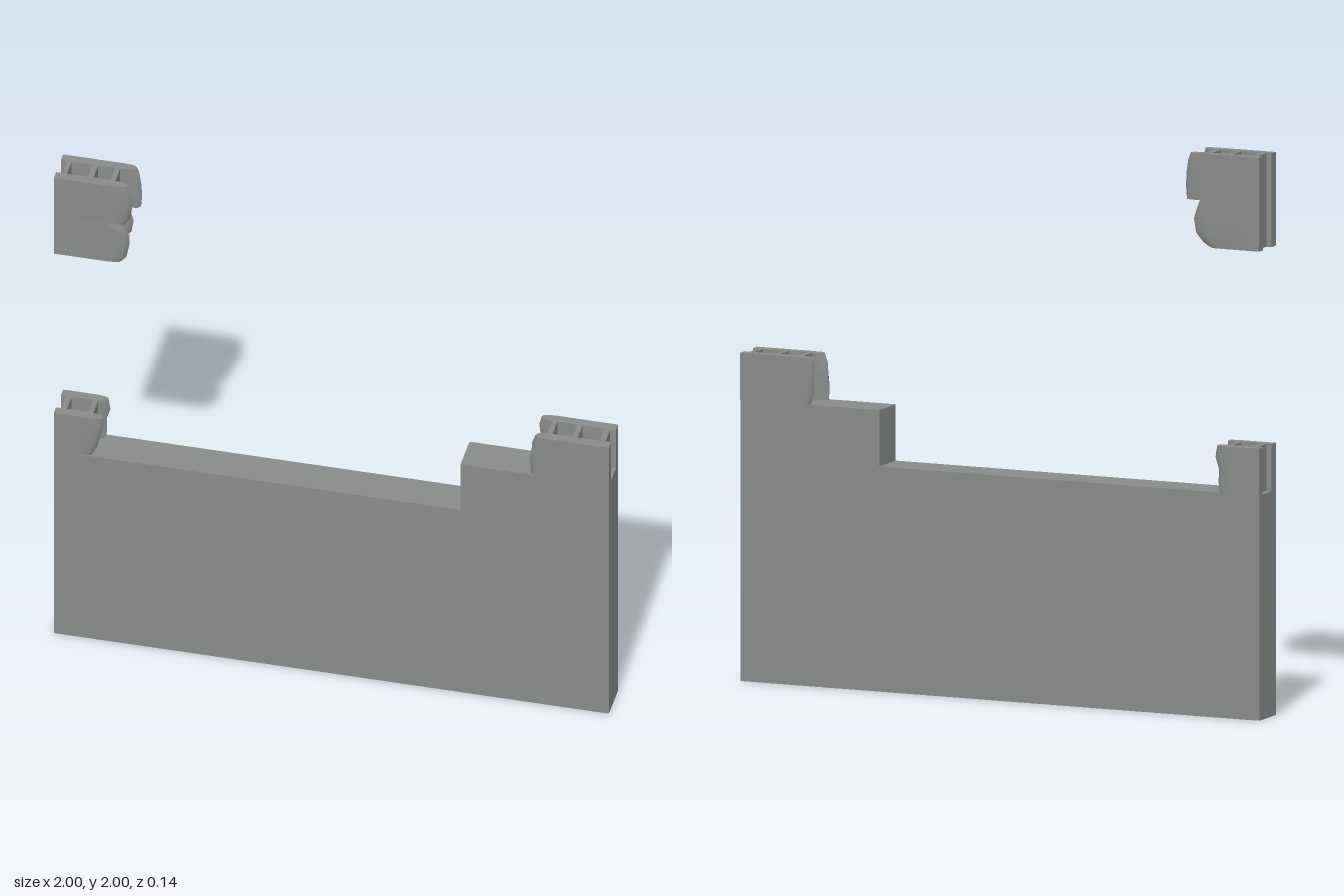
import * as THREE from 'three';
import { toCreasedNormals } from 'three/addons/utils/BufferGeometryUtils.js';

const concrete = new THREE.MeshStandardMaterial({ color: 0x888b8a });
concrete.name = 'concrete grey';

const FRONT = 0.069, BACK = -0.071, SHELL = 0.034;

// One face shell of a broken block: horizontal slices stacked upward.
// ends: [height fraction, length from the wall end] pairs; side: +1 left, -1 right; face: +1 front, -1 back
function shell(side, face, y0, height, ends) {
  const zOut = face > 0 ? FRONT : BACK;
  const pos = [], idx = [];
  ends.forEach(([t, len], row) => {
    const wobble = row % 2 ? 0.006 : 0;
    const slice = [
      [0, 0], [len - 0.045, 0], [len - 0.016, 0.003], [len - 0.003, 0.009],
      [len, 0.017], [len - 0.01 - wobble, 0.028], [len - 0.045 - wobble, SHELL], [0, SHELL],
    ];
    for (const [d, inset] of slice) pos.push(side * (1 - d), y0 + t * height, zOut - face * inset);
  });
  const n = 8, last = (ends.length - 1) * n;
  const flip = side * face < 0;
  const tri = (a, b, c) => (flip ? idx.push(a, c, b) : idx.push(a, b, c));
  for (let r = 0; r < ends.length - 1; r++) {
    for (let i = 0; i < n; i++) {
      const a = r * n + i, b = r * n + ((i + 1) % n);
      tri(a, a + n, b);
      tri(b, a + n, b + n);
    }
  }
  for (let i = 1; i < n - 1; i++) {
    tri(0, i, i + 1);
    tri(last, last + i + 1, last + i);
  }
  const g = new THREE.BufferGeometry();
  g.setAttribute('position', new THREE.Float32BufferAttribute(pos, 3));
  g.setIndex(idx);
  return new THREE.Mesh(toCreasedNormals(g, 0.9), concrete);
}

// Hollow block fragment: two face shells joined by cross webs
function brokenBlock(name, { side, y0, height, front, back, webs }) {
  const block = new THREE.Group();
  block.name = name;
  const frontShell = shell(side, 1, y0, height, front);
  frontShell.name = 'frontShell';
  const backShell = shell(side, -1, y0, height, back);
  backShell.name = 'backShell';
  block.add(frontShell, backShell);
  const depth = FRONT - BACK - 2 * SHELL + 0.004;
  for (const d of webs) {
    const web = new THREE.Mesh(new THREE.BoxGeometry(0.018, height, depth), concrete);
    web.name = 'crossWeb';
    web.position.set(side * (1 - d), y0 + height / 2, (FRONT + BACK) / 2);
    block.add(web);
  }
  return block;
}

export function createModel() {
  const model = new THREE.Group();
  model.name = 'ruinedBlockWall';

  // Stepped wall slab
  const outline = new THREE.Shape([[-1, 0], [1, 0], [1, 1], [0.465, 1], [0.465, 0.8], [-1, 0.8]]
    .map(([x, y]) => new THREE.Vector2(x, y)));
  const slab = new THREE.ExtrudeGeometry(outline, { depth: 0.136, bevelEnabled: false });
  slab.translate(0, 0, -0.067);
  const wall = new THREE.Mesh(slab, concrete);
  wall.name = 'wall';
  model.add(wall);

  // Block on the high step
  model.add(brokenBlock('stepBlock', {
    side: 1, y0: 1, height: 0.167, webs: [0.03, 0.13, 0.22],
    front: [[0, 0.285], [0.3, 0.288], [0.55, 0.283], [0.8, 0.28], [1, 0.268]],
    back: [[0, 0.265], [0.25, 0.278], [0.55, 0.276], [0.8, 0.28], [1, 0.272]],
  }));

  // Block on the low end
  model.add(brokenBlock('lowBlock', {
    side: -1, y0: 0.8, height: 0.167, webs: [0.03, 0.125],
    front: [[0, 0.135], [0.2, 0.152], [0.5, 0.165], [0.8, 0.178], [1, 0.175]],
    back: [[0, 0.158], [0.2, 0.163], [0.5, 0.162], [0.75, 0.175], [1, 0.168]],
  }));

  // Two stacked blocks hanging above the low end
  model.add(brokenBlock('upperBlock', {
    side: -1, y0: 1.834, height: 0.166, webs: [0.03, 0.125, 0.205],
    front: [[0, 0.255], [0.15, 0.272], [0.5, 0.28], [0.8, 0.274], [1, 0.262]],
    back: [[0, 0.285], [0.3, 0.289], [0.6, 0.286], [0.85, 0.28], [1, 0.27]],
  }));
  model.add(brokenBlock('hangingBlock', {
    side: -1, y0: 1.667, height: 0.167, webs: [0.03, 0.125, 0.205],
    front: [[0, 0.24], [0.12, 0.258], [0.45, 0.268], [0.7, 0.268], [0.88, 0.245], [1, 0.225]],
    back: [[0, 0.19], [0.1, 0.22], [0.3, 0.25], [0.6, 0.258], [0.85, 0.245], [1, 0.235]],
  }));
  return model;
}
